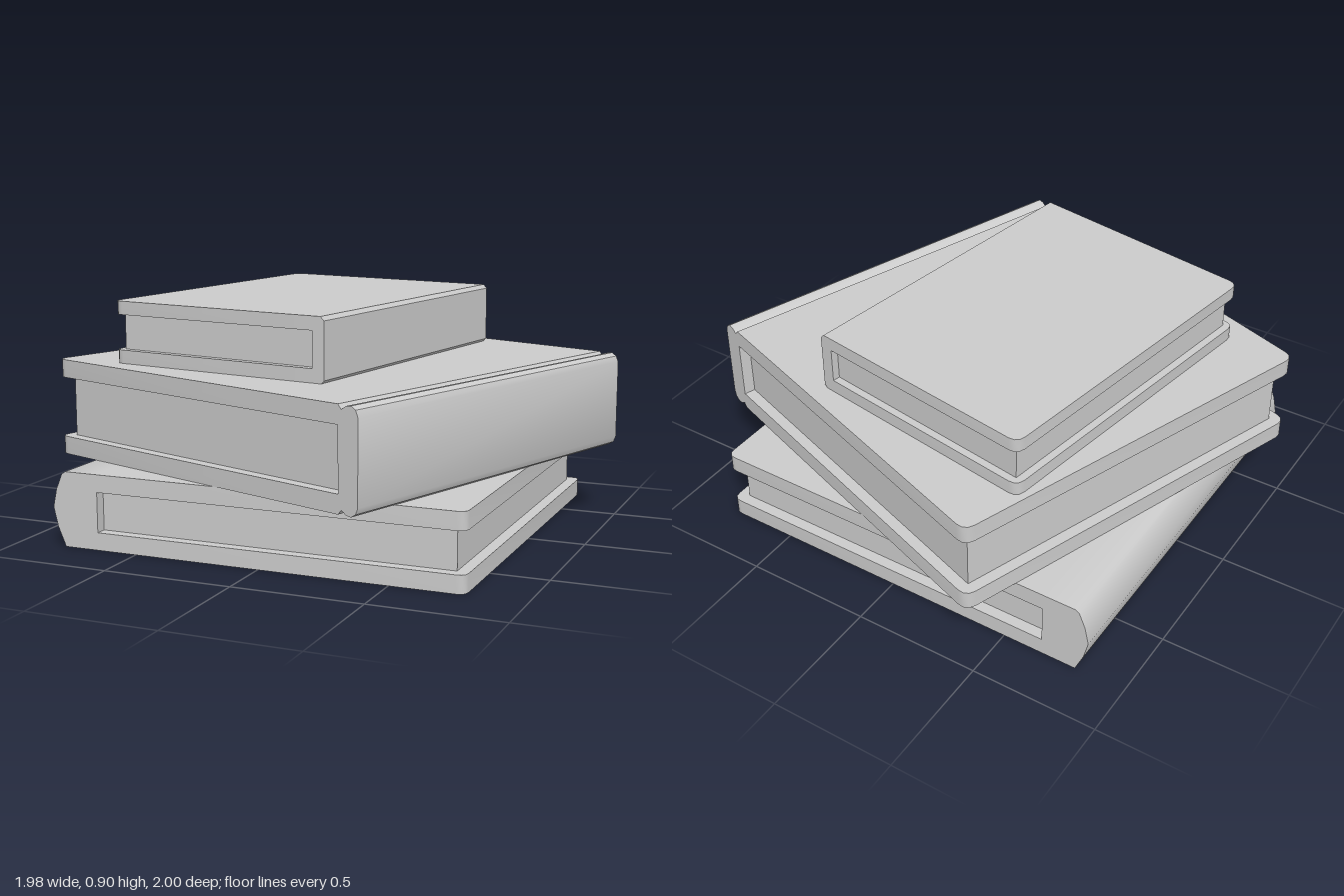
import * as THREE from 'three';
import { toCreasedNormals } from 'three/addons/utils/BufferGeometryUtils.js';

const material = new THREE.MeshStandardMaterial({ color: 0xcccccc });

function addMesh(group, geometry, name) {
  const mesh = new THREE.Mesh(toCreasedNormals(geometry, 0.6), material);
  mesh.name = name;
  group.add(mesh);
  return mesh;
}

// One closed book lying flat: spine on +x, pages open to -x and both ends.
// w, l, h: overall size; t: cover thickness; s: spine depth; r: corner rounding;
// inset: how far the pages sit back; spine: outer profile as [x from the spine edge, y].
function createBook(name, { w, l, h, t, s, r, inset, spine }) {
  const book = new THREE.Group();
  book.name = name;
  const left = -w / 2, inner = w / 2 - s, end = l / 2;

  // Cover boards with rounded corners on the open edge
  const outline = new THREE.Shape();
  outline.moveTo(inner, -end);
  outline.lineTo(inner, end);
  outline.lineTo(left + r, end);
  outline.quadraticCurveTo(left, end, left, end - r);
  outline.lineTo(left, -end + r);
  outline.quadraticCurveTo(left, -end, left + r, -end);
  const board = new THREE.ExtrudeGeometry(outline, { depth: t, bevelEnabled: false, curveSegments: 3 });
  board.rotateX(Math.PI / 2);
  addMesh(book, board, 'bottomCover').position.y = t;
  addMesh(book, board.clone(), 'topCover').position.y = h;

  // Spine: its end profile drawn along the length of the book
  const profile = new THREE.Shape();
  profile.moveTo(inner, h);
  profile.lineTo(inner, 0);
  spine.forEach(([x, y]) => profile.lineTo(w / 2 + x, y));
  const back = new THREE.ExtrudeGeometry(profile, { depth: l, bevelEnabled: false });
  back.translate(0, 0, -end);
  addMesh(book, back, 'spine');

  // Page block, set back between the covers
  const pages = new THREE.BoxGeometry(w - s - inset, h - 2 * t, l - 2 * inset);
  addMesh(book, pages, 'pages').position.set((left + inset + inner) / 2, h / 2, 0);
  return book;
}

export function createModel() {
  const model = new THREE.Group();
  model.name = 'bookStack';

  // Bottom book with a bulging spine, facing -x
  const bottom = createBook('bottomBook', {
    w: 1.63, l: 1.575, h: 0.29, t: 0.068, s: 0.19, r: 0.035, inset: 0.045,
    spine: [[-0.05, 0], [-0.018, 0.075], [0, 0.15], [-0.015, 0.22], [-0.04, 0.28], [-0.055, 0.29]],
  });
  bottom.position.set(-0.035, 0, -0.007);
  bottom.rotation.y = Math.PI;

  // Middle book, thickest, with a hinge groove beside the spine
  const H = 0.375;
  const middle = createBook('middleBook', {
    w: 1.56, l: 1.585, h: H, t: 0.07, s: 0.088, r: 0.045, inset: 0.045,
    spine: [[-0.073, 0.017], [-0.052, 0.003], [-0.03, 0], [-0.01, 0.012], [0, 0.035],
      [0, H - 0.035], [-0.01, H - 0.012], [-0.03, H], [-0.052, H - 0.003], [-0.073, H - 0.017]],
  });
  middle.position.y = 0.29;
  middle.rotation.y = -0.334;

  // Small top book with a flat spine
  const top = createBook('topBook', {
    w: 0.95, l: 1.28, h: 0.24, t: 0.052, s: 0.05, r: 0.04, inset: 0.03,
    spine: [[-0.012, 0], [0, 0.012], [0, 0.225], [-0.015, 0.24]],
  });
  top.position.set(-0.167, 0.665, -0.062);
  top.rotation.y = -0.157;

  model.add(bottom, middle, top);
  return model;
}
